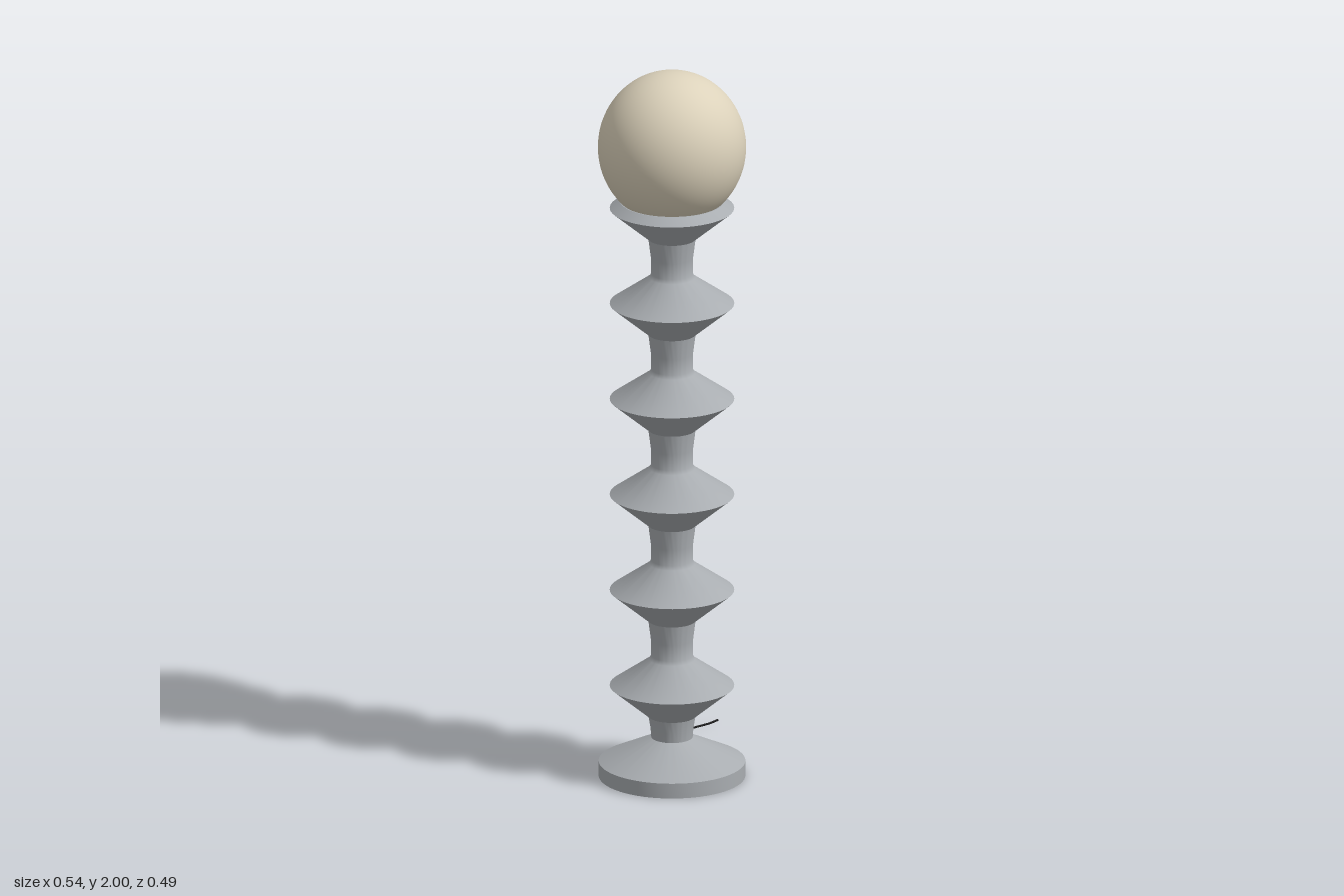
import * as THREE from 'three';
import { toCreasedNormals } from 'three/addons/utils/BufferGeometryUtils.js';

const CX = -0.073, CZ = 0.043; // axis of the lamp

function material(name, color) {
  const m = new THREE.MeshStandardMaterial({ color });
  m.name = name;
  return m;
}

function lathe(profile) {
  const points = profile.map(([r, y]) => new THREE.Vector2(r, y));
  return toCreasedNormals(new THREE.LatheGeometry(points, 64), 0.6);
}

export function createModel() {
  const lamp = new THREE.Group();
  lamp.name = 'lamp';
  const metal = material('grey metal', 0xa9adb1);
  const glass = material('cream glass', 0xdcd2bb);
  const rubber = material('black rubber', 0x1b1b1b);

  function add(name, geometry, mat, x = 0, y = 0, z = 0) {
    const mesh = new THREE.Mesh(geometry, mat);
    mesh.name = name;
    mesh.position.set(x, y, z);
    lamp.add(mesh);
    return mesh;
  }

  // Weighted foot with a shallow cone
  add('base', lathe([[0, 0.003], [0.198, 0.003], [0.198, 0.045], [0.056, 0.113]]), metal, CX, 0, CZ);

  // Stem: six flared rings joined by slightly waisted necks
  const stem = [[0.056, 0.113], [0.058, 0.14]];
  for (let i = 0; i < 6; i++) {
    const y = 0.26 + i * 0.2714;
    stem.push([0.064, y - 0.087], [0.168, y]);
    if (i < 5) stem.push([0.062, y + 0.074], [0.056, y + 0.085], [0.057, y + 0.13]);
  }
  // Top ring closes in under the globe
  stem.push([0.14, 1.637], [0, 1.637]);
  add('stem', lathe(stem), metal, CX, 0, CZ);

  // Globe, slightly taller than wide, seated in the top ring
  const globe = add('globe', new THREE.SphereGeometry(0.2, 64, 40, 0, Math.PI * 2, 0, 2.45), glass, CX, 1.79, CZ);
  globe.scale.y = 1.05;

  // Power cord leaving the back of the base
  const path = new THREE.CatmullRomCurve3([
    [-0.01, 0.026, -0.125], [0.005, 0.024, -0.141], [0.05, 0.018, -0.186], [0.1, 0.013, -0.217],
    [0.15, 0.011, -0.232], [0.2, 0.012, -0.237], [0.24, 0.013, -0.239], [0.27, 0.016, -0.243],
  ].map(p => new THREE.Vector3(...p)));
  add('cord', new THREE.TubeGeometry(path, 48, 0.003, 8), rubber);
  const tip = add('cordEnd', new THREE.CircleGeometry(0.003, 8), rubber, 0.27, 0.016, -0.243);
  tip.lookAt(tip.position.clone().add(path.getTangent(1)));

  return lamp;
}
